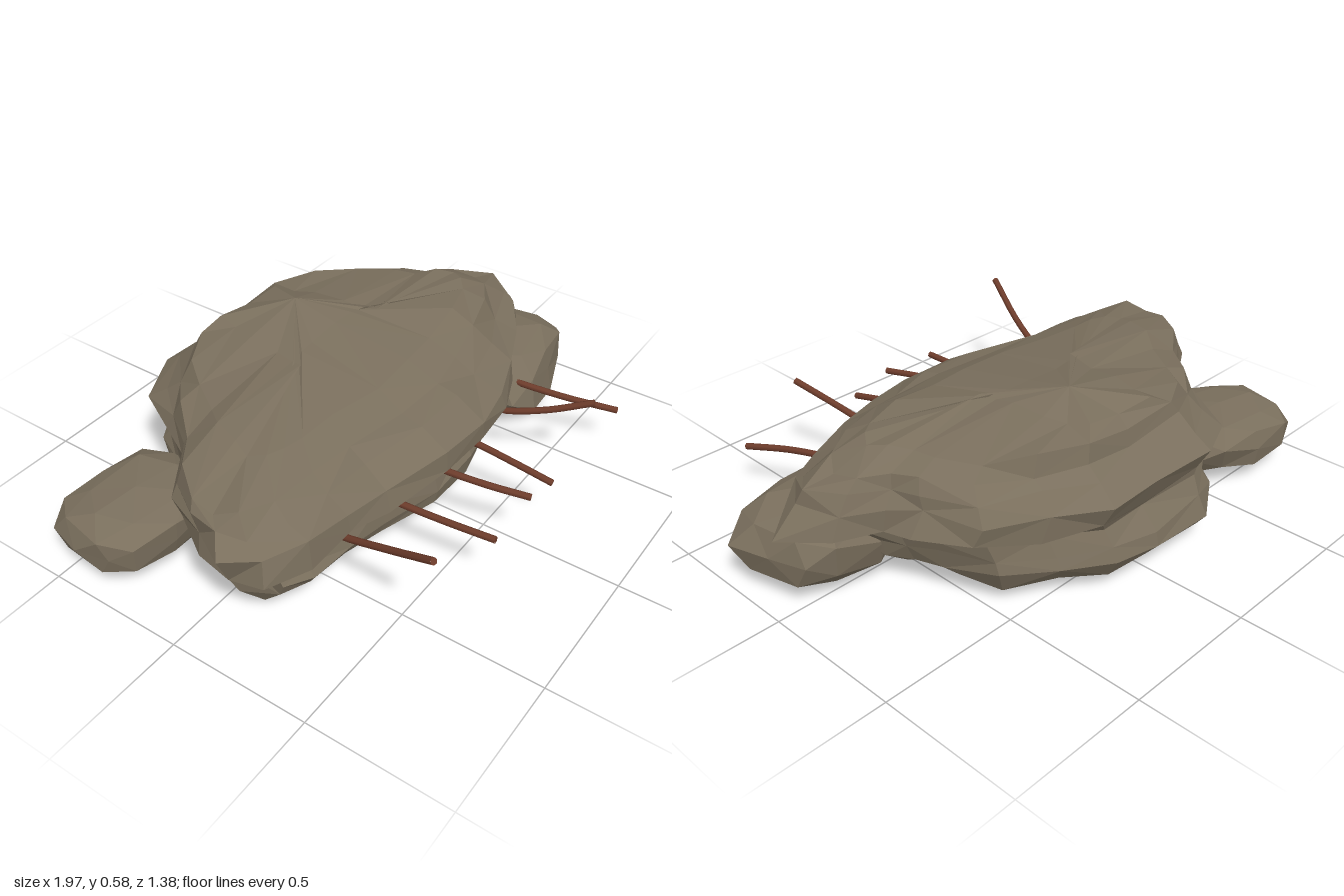
import * as THREE from 'three';

const stone = new THREE.MeshStandardMaterial({ color: 0x7a6f5d });
stone.name = 'stone';
const rootBrown = new THREE.MeshStandardMaterial({ color: 0x6e3d2c });
rootBrown.name = 'root brown';

// Repeatable wobble in -1..1
const wobble = (a, b, seed) => {
  const s = Math.sin(a * 12.9898 + b * 78.233 + seed * 37.719) * 43758.5453;
  return (s - Math.floor(s)) * 2 - 1;
};

// Widest outline of the slab (x, z), from front left round by +x to the back
const outline = [
  [-0.87, 0.26], [-0.72, 0.32], [-0.55, 0.34], [-0.37, 0.36], [-0.12, 0.43], [0.1, 0.43],
  [0.28, 0.4], [0.48, 0.34], [0.65, 0.24], [0.82, 0.15], [0.95, 0.04], [0.83, -0.1],
  [0.72, -0.18], [0.67, -0.28], [0.57, -0.45], [0.4, -0.57], [0.22, -0.66], [0.02, -0.68],
  [-0.25, -0.69], [-0.42, -0.59], [-0.52, -0.45], [-0.63, -0.28], [-0.78, -0.17],
  [-0.86, 0], [-0.92, 0.14],
];

// Levels of the slab: height, left, right, front and back reach
const levels = [
  [0.03, -0.66, 0.42, 0.12, -0.55],
  [0.06, -0.74, 0.58, 0.25, -0.65],
  [0.13, -0.75, 0.68, 0.36, -0.68],
  [0.18, -0.76, 0.72, 0.39, -0.67],
  [0.245, -0.8, 0.78, 0.36, -0.63],
  [0.27, -0.87, 0.95, 0.42, -0.64],
  [0.35, -0.92, 0.9, 0.42, -0.68],
  [0.4, -0.88, 0.84, 0.32, -0.62],
  [0.445, -0.83, 0.77, 0.24, -0.555],
  [0.495, -0.6, 0.66, 0.13, -0.545],
  [0.53, -0.2, 0.24, -0.16, -0.51],
];

function flat(positions) {
  const g = new THREE.BufferGeometry();
  g.setAttribute('position', new THREE.Float32BufferAttribute(positions, 3));
  g.computeVertexNormals();
  return g;
}

// Overhanging slab lofted through the levels
function slabGeometry() {
  const zc = -0.1;
  const n = outline.length;
  const rings = levels.map(([y, left, right, front, back], i) =>
    outline.map(([x, z], j) => {
      // Halfway between shrinking and trimming the outline, for full flanks
      const shrunk = x * (x < 0 ? left / -0.92 : right / 0.95);
      const trimmed = THREE.MathUtils.clamp(x, left, right);
      const sz = z > zc ? (front - zc) / (0.43 - zc) : (back - zc) / (-0.69 - zc);
      const rough = 1 + 0.03 * wobble(i, j, 1);
      const lift = i === 0 ? 0.006 : i === levels.length - 1 ? 0.01 : 0.017;
      return [(shrunk + trimmed) / 2 * rough, y + lift * wobble(i, j, 2), zc + (z - zc) * sz * rough];
    }));
  const out = [];
  const tri = (a, b, c) => out.push(...a, ...b, ...c);
  const peak = [0.06, 0.578, -0.33];
  const base = [-0.08, 0, -0.3];
  for (let j = 0; j < n; j++) {
    const k = (j + 1) % n;
    for (let i = 0; i < rings.length - 1; i++) {
      const a = rings[i][j], b = rings[i][k], c = rings[i + 1][k], d = rings[i + 1][j];
      if ((i + j) % 2) { tri(a, b, c); tri(a, c, d); }
      else { tri(a, b, d); tri(b, c, d); }
    }
    tri(rings[0][k], rings[0][j], base);
    tri(rings.at(-1)[j], rings.at(-1)[k], peak);
  }
  return flat(out);
}

// Squarish faceted boulder
function boulderGeometry(rx, ry, rz, seed) {
  const p = new THREE.IcosahedronGeometry(1, 1).attributes.position;
  const box = (t) => Math.sign(t) * Math.pow(Math.abs(t), 0.75);
  const out = [];
  for (let i = 0; i < p.count; i++) {
    const [x, y, z] = [p.getX(i), p.getY(i), p.getZ(i)].map((t) => Math.round(t * 1000) / 1000 + 0);
    const r = 0.94 + 0.11 * wobble(Math.round(x * 10) + Math.round(y * 10) * 3, Math.round(z * 10), seed);
    out.push(box(x) * r * rx, box(y) * r * ry, box(z) * r * rz);
  }
  return flat(out);
}

export function createModel() {
  const group = new THREE.Group();
  const add = (name, geometry, material, x = 0, y = 0, z = 0) => {
    const mesh = new THREE.Mesh(geometry, material);
    mesh.name = name;
    mesh.position.set(x, y, z);
    group.add(mesh);
    return mesh;
  };

  add('rockSlab', slabGeometry(), stone);
  add('backBoulder', boulderGeometry(0.28, 0.115, 0.225, 3), stone, -0.72, 0.135, -0.39).rotation.y = -0.15;
  add('frontBoulder', boulderGeometry(0.31, 0.145, 0.24, 5), stone, 0.69, 0.165, 0.145).rotation.y = 0.2;

  // Roots: start x, y, z and tip x, y
  const roots = [
    [-0.53, 0.245, 0.29, -0.63, 0.44],
    [-0.28, 0.22, 0.34, -0.26, 0.23],
    [-0.1, 0.26, 0.4, -0.035, 0.24],
    [0.1, 0.24, 0.4, 0.12, 0.19],
    [0.3, 0.25, 0.38, 0.39, 0.355],
    [0.51, 0.225, 0.34, 0.62, 0.18],
  ];
  roots.forEach(([x, y, z, tx, ty], i) => {
    const curve = new THREE.CatmullRomCurve3([
      new THREE.Vector3(x, y, z - 0.06),
      new THREE.Vector3(x, y, z),
      new THREE.Vector3(x + (tx - x) * 0.38, y + (ty - y) * 0.42, (z + 0.68) / 2),
      new THREE.Vector3(tx, ty, 0.68),
    ]);
    add('root' + (i + 1), new THREE.TubeGeometry(curve, 10, 0.012, 7), rootBrown);
    // Cut end of the root
    const tip = add('rootTip' + (i + 1), new THREE.CircleGeometry(0.012, 7), rootBrown, tx, ty, 0.68);
    tip.lookAt(new THREE.Vector3(tx, ty, 0.68).add(curve.getTangent(1)));
  });
  return group;
}
